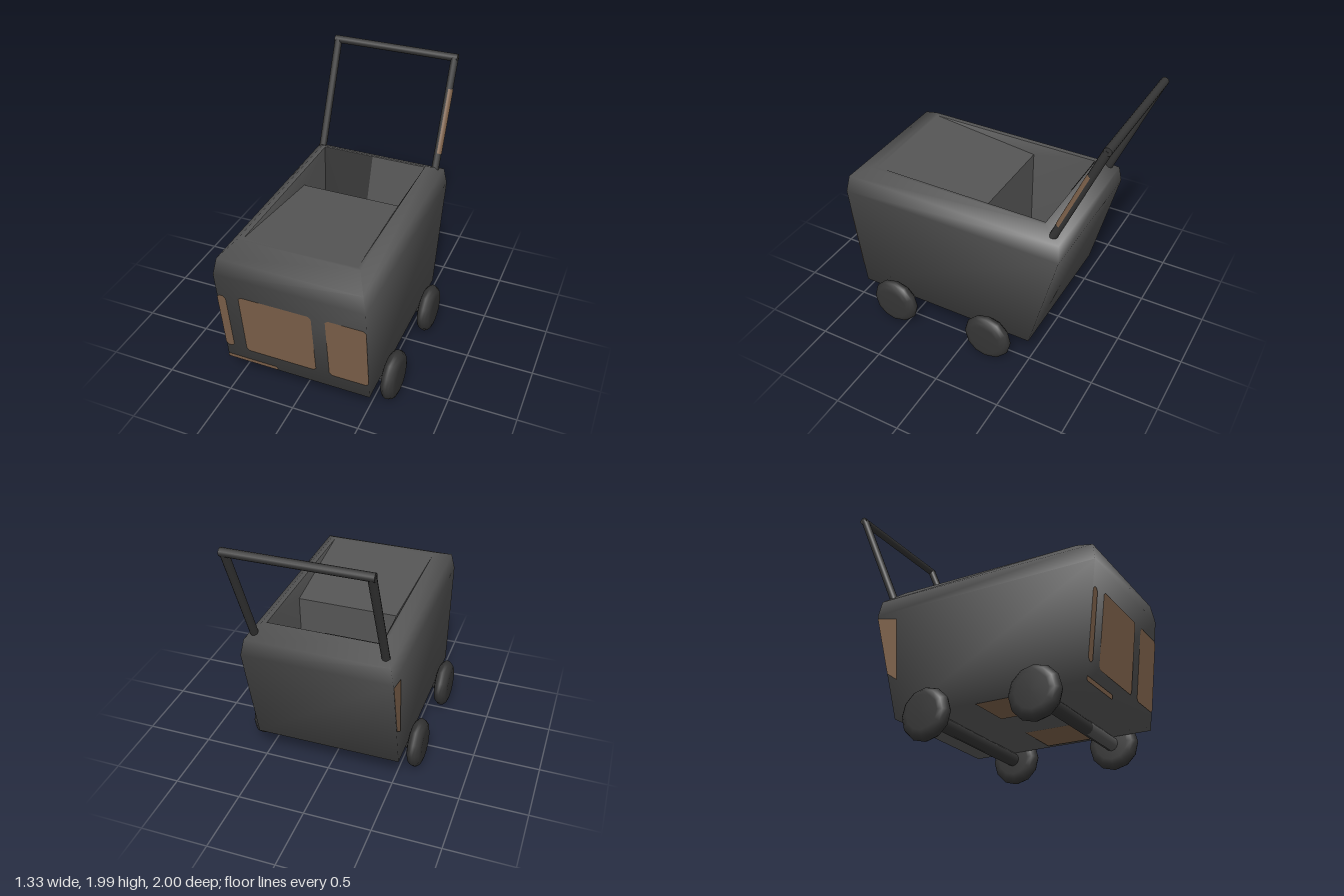
import * as THREE from 'three';

const mat = (name, color, side = THREE.FrontSide) => {
  const m = new THREE.MeshStandardMaterial({ color, side });
  m.name = name;
  return m;
};

export function createModel() {
  const group = new THREE.Group();
  const grey = mat('grey', 0x555555, THREE.DoubleSide);
  const dark = mat('dark grey', 0x353535, THREE.DoubleSide);
  const brown = mat('brown', 0x7e624b, THREE.DoubleSide);

  const add = (name, geo, material) => {
    const mesh = new THREE.Mesh(geo, material);
    mesh.name = name;
    group.add(mesh);
    return mesh;
  };

  // Smooth mesh from points and quads or triangles
  const faceted = (points, faces) => {
    const geo = new THREE.BufferGeometry();
    geo.setAttribute('position', new THREE.Float32BufferAttribute(points.flat(), 3));
    geo.setIndex(faces.flatMap(([a, b, c, d]) => (d === undefined ? [a, b, c] : [a, b, c, a, c, d])));
    geo.computeVertexNormals();
    return geo;
  };
  const plate = (name, points, material) => add(name, faceted(points, [[0, 1, 2, 3]]), material);

  // Rod between two points, or a partial sleeve around it
  const rod = (name, from, to, radius, material, start = 0, sweep = Math.PI * 2) => {
    const a = new THREE.Vector3(...from), b = new THREE.Vector3(...to);
    const dir = b.clone().sub(a);
    const open = sweep < 6;
    const geo = new THREE.CylinderGeometry(radius, radius, dir.length(), open ? 6 : 12, 1, open, start, sweep);
    const mesh = add(name, geo, material);
    mesh.position.copy(a).add(b).multiplyScalar(0.5);
    mesh.quaternion.setFromUnitVectors(new THREE.Vector3(0, 1, 0), dir.normalize());
    return mesh;
  };

  // Tub shell: rings of half width, height, front z, back z
  const rings = [
    [0.545, 0.225, 0.90, -0.51],
    [0.545, 1.04, 1.0, -0.715],
    [0.52, 1.165, 0.98, -0.70],
    [0.44, 1.24, 0.83, -0.56],
    [0.41, 1.235, 0.80, -0.55],
  ];
  const points = rings.flatMap(([x, y, f, b]) => [[x, y, f], [x, y, b], [-x, y, b], [-x, y, f]]);
  const faces = [[0, 3, 2, 1]];
  for (let r = 0; r < rings.length - 1; r++) {
    for (let i = 0; i < 4; i++) {
      const j = (i + 1) % 4;
      faces.push([r * 4 + i, r * 4 + j, r * 4 + 4 + j, r * 4 + 4 + i]);
    }
  }
  add('tubShell', faceted(points, faces), grey);

  // Dished front cover, sharing its edge with the well behind it
  const [rx, ry, rf, rb] = rings[4];
  const ex = 0.37, ey = 1.165, ez = -0.07, fx = 0.35, fy = 0.35, fb = -0.41;
  add('frontCover', faceted(
    [[rx, ry, rf], [ex, ey, ez], [-ex, ey, ez], [-rx, ry, rf]], [[0, 1, 2, 3]]), grey);

  // Side walls of the well, mirrored
  for (const s of [1, -1]) {
    const wall = [[rx * s, ry, rb], [rx * s, ry, rf], [ex * s, ey, ez], [fx * s, fy, ez], [fx * s, fy, fb]];
    const tris = [[0, 2, 1], [0, 3, 2], [0, 4, 3]];
    add('wellSideWall', faceted(wall, s > 0 ? tris.map(([a, b, c]) => [a, c, b]) : tris.map(([a, b, c]) => [a, b, c])
      .map((t) => [t[0], t[1], t[2]])), grey);
  }
  plate('wellFrontWall', [[ex, ey, ez], [fx, fy, ez], [-fx, fy, ez], [-ex, ey, ez]], grey);
  plate('wellBackWall', [[-rx, ry, rb], [-fx, fy, fb], [fx, fy, fb], [rx, ry, rb]], grey);
  plate('wellFloor', [[fx, fy, ez], [fx, fy, fb], [-fx, fy, fb], [-fx, fy, ez]], grey);
  plate('wellBackPatch', [[-rx, ry, rb + 0.005], [-fx, fy, fb + 0.005], [-0.05, fy, fb + 0.005], [-0.01, ry, rb + 0.005]], dark);

  // Brown panels on the sloping front
  const frontZ = (y) => 0.90 + (y - 0.225) * 0.1227 + 0.004;
  for (const [x0, x1, y0, y1] of [
    [-0.38, 0.155, 0.355, 0.88],
    [0.255, 0.545, 0.35, 0.885],
    [-0.545, -0.48, 0.36, 0.855],
    [-0.545, -0.15, 0.23, 0.262],
  ]) {
    const c = Math.min(0.02, (y1 - y0) / 3); // clipped corners
    const shape = new THREE.Shape([
      [x0 + c, y0], [x1 - c, y0], [x1, y0 + c], [x1, y1 - c],
      [x1 - c, y1], [x0 + c, y1], [x0, y1 - c], [x0, y0 + c],
    ].map(([x, y]) => new THREE.Vector2(x, y)));
    const geo = new THREE.ShapeGeometry(shape);
    const p = geo.attributes.position;
    for (let i = 0; i < p.count; i++) p.setZ(i, frontZ(p.getY(i)));
    geo.computeVertexNormals();
    add('frontPanel', geo, brown);
  }

  // Brown patches underneath and on the rear of the right side
  for (const [x0, x1] of [[0.14, 0.50], [-0.54, -0.20]]) {
    plate('undersidePatch', [[x0, 0.221, 0.12], [x1, 0.221, 0.12], [x1, 0.221, 0.50], [x0, 0.221, 0.50]], brown);
  }
  plate('rearSidePatch', [[-0.549, 1.02, -0.71], [-0.549, 0.57, -0.595], [-0.549, 0.51, -0.51], [-0.549, 0.98, -0.54]], brown);

  // Axles and rounded wheels
  const profile = [
    [0, -0.055], [0.12, -0.055], [0.155, -0.045], [0.178, -0.022],
    [0.186, 0], [0.178, 0.022], [0.155, 0.045], [0.12, 0.055], [0, 0.055],
  ].map(([x, y]) => new THREE.Vector2(x, y));
  const wheelGeo = new THREE.LatheGeometry(profile, 12);
  wheelGeo.rotateZ(Math.PI / 2);
  for (const z of [0.59, -0.21]) {
    rod('axle', [-0.6, 0.18, z], [0.6, 0.18, z], 0.05, dark);
    for (const s of [1, -1]) add('wheel', wheelGeo, dark).position.set(0.61 * s, 0.188, z);
  }
  rod('axleFrontPatch', [0.13, 0.18, 0.59], [0.555, 0.18, 0.59], 0.053, grey, -Math.PI / 2, Math.PI);

  // Push handle: leaning posts and a crossbar
  for (const s of [1, -1]) {
    rod('handlePost', [0.467 * s, 1.18, -0.63], [0.468 * s, 1.965, -0.965], 0.029, dark);
  }
  rod('handleBar', [-0.492, 1.964, -0.967], [0.492, 1.964, -0.967], 0.029, dark);
  rod('handlePostPatch', [0.467, 1.3, -0.681], [0.468, 1.75, -0.873], 0.031, brown, 0, Math.PI / 2);

  return group;
}
